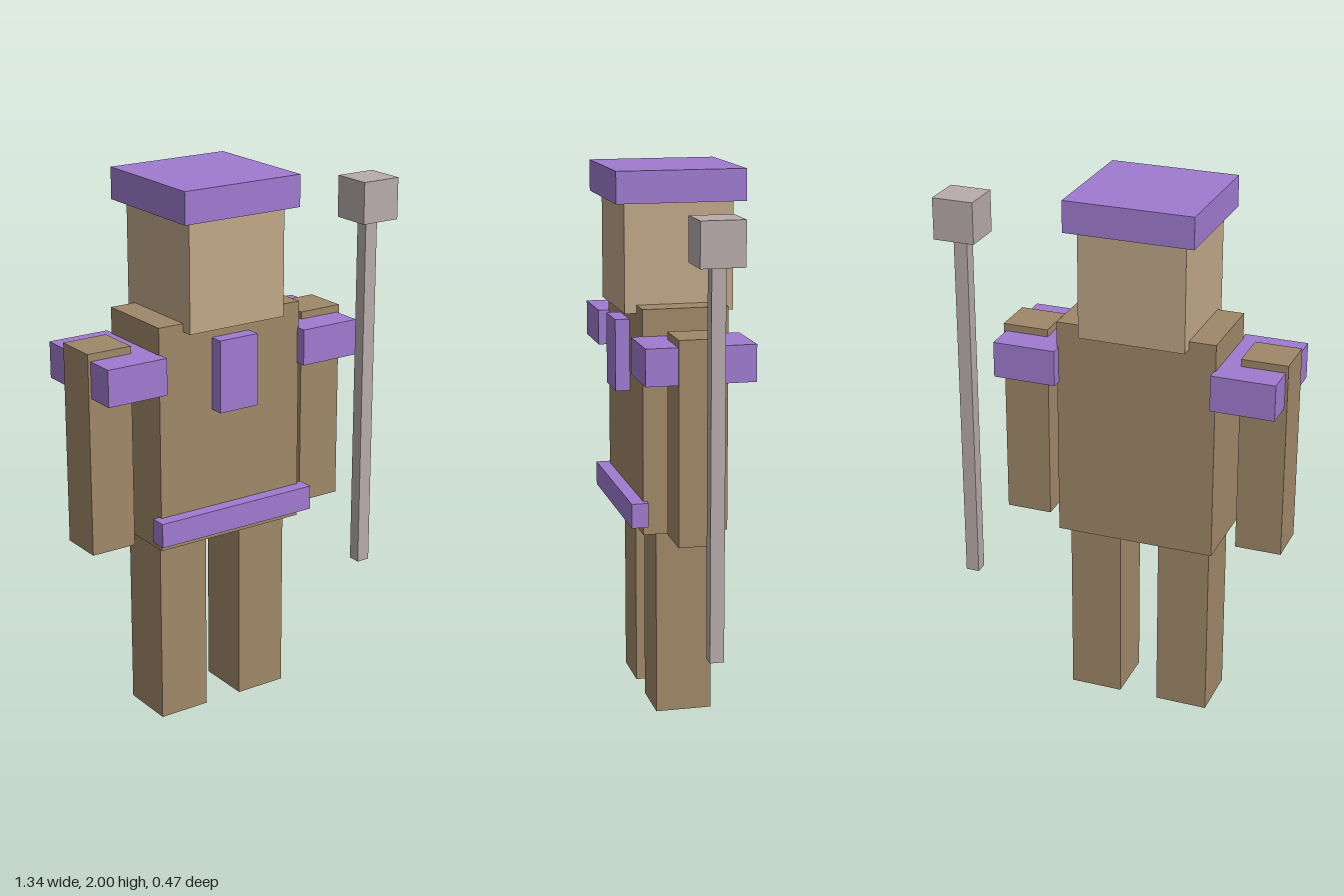
import * as THREE from 'three';

const material = (color) => new THREE.MeshStandardMaterial({ color, flatShading: true });

export function createModel() {
  const model = new THREE.Group();
  const skin = material(0xc0a888);
  const cloth = material(0x9f8868);
  const purple = material(0x9f7bd0);
  const metal = material(0xb8abab);

  // Adds a box spanning the given [min, max] ranges
  function addBox(parent, name, mat, [x0, x1], [y0, y1], [z0, z1]) {
    const mesh = new THREE.Mesh(new THREE.BoxGeometry(x1 - x0, y1 - y0, z1 - z0), mat);
    mesh.position.set((x0 + x1) / 2, (y0 + y1) / 2, (z0 + z1) / 2);
    mesh.name = name;
    parent.add(mesh);
  }

  // Figure, symmetric about its own centre line
  const figure = new THREE.Group();
  figure.name = 'figure';
  figure.position.x = -0.137;
  model.add(figure);

  addBox(figure, 'torso', cloth, [-0.296, 0.296], [0.695, 1.52], [-0.157, 0.157]);
  addBox(figure, 'head', skin, [-0.197, 0.197], [1.49, 1.885], [-0.2, 0.2]);
  addBox(figure, 'hat', purple, [-0.237, 0.237], [1.885, 2], [-0.237, 0.237]);
  addBox(figure, 'chestPlate', purple, [-0.079, 0.079], [1.185, 1.45], [0.153, 0.21]);
  addBox(figure, 'belt', purple, [-0.322, 0.322], [0.73, 0.82], [0.143, 0.205]);

  // Limbs and shoulder pads, mirrored left and right
  for (const [side, s] of [['left', 1], ['right', -1]]) {
    const span = (a, b) => (s > 0 ? [a, b] : [-b, -a]);
    addBox(figure, side + 'Leg', cloth, span(0.074, 0.27), [0, 0.695], [-0.104, 0.104]);
    addBox(figure, side + 'Arm', cloth, span(0.363, 0.534), [0.71, 1.45], [-0.083, 0.083]);
    addBox(figure, side + 'ShoulderPad', purple, span(0.29, 0.524), [1.29, 1.423], [-0.198, 0.198]);
  }

  // Staff standing beside the left arm
  const staff = new THREE.Group();
  staff.name = 'staff';
  model.add(staff);
  addBox(staff, 'staffPole', metal, [0.561, 0.613], [0.355, 1.735], [-0.025, 0.025]);
  addBox(staff, 'staffHead', metal, [0.509, 0.666], [1.733, 1.89], [-0.078, 0.078]);

  return model;
}
